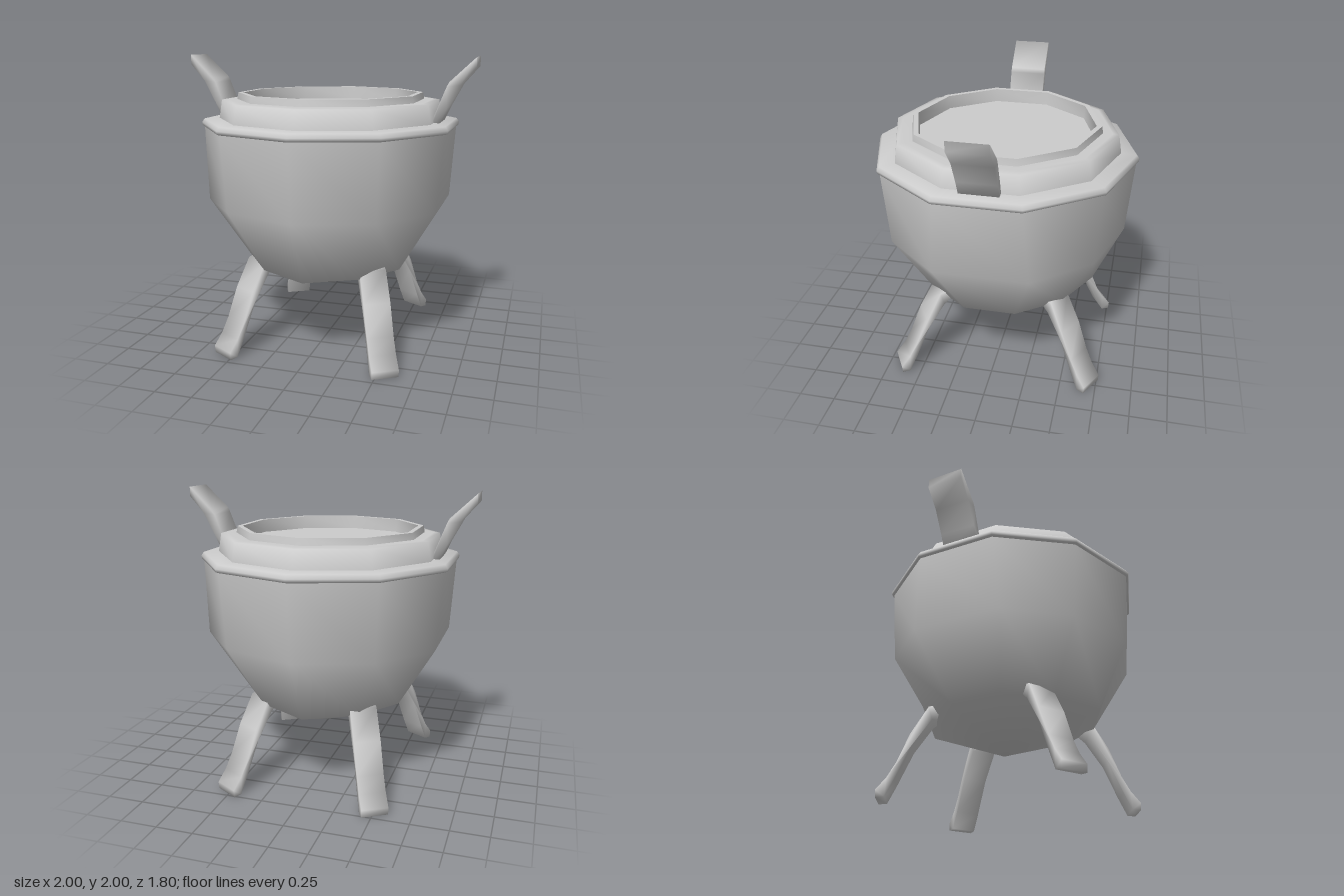
import * as THREE from 'three';
import { mergeVertices, toCreasedNormals } from 'three/addons/utils/BufferGeometryUtils.js';

const SIDES = 10;
const SOFT = 1.7; // crease angle that rounds even square edges
const material = new THREE.MeshStandardMaterial({ color: 0xcccccc, side: THREE.DoubleSide });
const vectors = (pairs) => pairs.map(([x, y]) => new THREE.Vector2(x, y));

function named(name, geometry) {
  const mesh = new THREE.Mesh(geometry, material);
  mesh.name = name;
  return mesh;
}

// Ten-sided turned part
function turned(name, profile, crease) {
  const geometry = new THREE.LatheGeometry(vectors(profile), SIDES);
  return named(name, toCreasedNormals(geometry, crease));
}

// Bent strip: side profile (outward, up) given a width, facing local +z
function strip(name, profile, width) {
  const geometry = new THREE.ExtrudeGeometry(new THREE.Shape(vectors(profile)), {
    depth: width, bevelEnabled: false,
  });
  geometry.translate(0, 0, -width / 2);
  geometry.rotateY(-Math.PI / 2);
  return named(name, toCreasedNormals(geometry, SOFT));
}

// Smooth bowl: slightly irregular rings, with the tip a little to the back
function bowl() {
  const profile = [[0, 0.35], [0.57, 0.57], [0.84, 1.01], [0.88, 1.52]];
  let geometry = new THREE.LatheGeometry(vectors(profile), SIDES);
  geometry.deleteAttribute('uv');
  geometry.deleteAttribute('normal');
  const p = geometry.attributes.position;
  for (let i = 0; i < p.count; i++) {
    const x = Math.abs(p.getX(i)), y = p.getY(i), z = p.getZ(i);
    if (y < 0.4) p.setZ(i, -0.07);
    else if (y < 0.6 && x < 0.01) p.setZ(i, Math.sign(z) * 0.64);
    else if (y > 0.9 && y < 1.1 && x > 0.7) p.setZ(i, z * 1.2);
  }
  geometry = mergeVertices(geometry);
  geometry.computeVertexNormals();
  return named('bowl', geometry);
}

export function createModel() {
  const group = new THREE.Group();
  group.name = 'cauldron';

  group.add(
    bowl(),
    turned('rim', [[0.87, 1.515], [0.895, 1.525], [0.898, 1.545], [0.88, 1.57], [0.74, 1.577]], SOFT),
    turned('collar', [[0.778, 1.56], [0.755, 1.7], [0.715, 1.705], [0.64, 1.705]], SOFT),
    turned('lip', [[0.652, 1.69], [0.64, 1.75], [0.605, 1.75], [0.6, 1.66]], 0.7),
    turned('lid', [[0.602, 1.66], [0, 1.66]], 0.7),
  );

  // Bent handles on both sides
  const handleProfile = [
    [0.73, 1.56], [0.77, 1.56], [0.82, 1.67], [0.9, 1.82], [1, 1.935],
    [1, 2], [0.83, 1.84], [0.815, 1.81], [0.74, 1.62],
  ];
  for (const side of [1, -1]) {
    const handle = strip(side > 0 ? 'leftHandle' : 'rightHandle', handleProfile, 0.25);
    handle.rotation.y = side * Math.PI / 2;
    group.add(handle);
  }

  // Four splayed legs with small turned-out feet
  const legProfile = [
    [0.46, 0.59], [0.53, 0.53], [0.65, 0.35], [0.75, 0.12], [0.805, 0.005], [0.86, 0],
    [0.865, 0.05], [0.8, 0.13], [0.745, 0.23], [0.665, 0.43], [0.555, 0.62], [0.5, 0.635],
  ];
  const splay = Math.PI / 6;
  for (const side of [1, -1]) {
    for (const front of [true, false]) {
      const name = (front ? 'front' : 'back') + (side > 0 ? 'LeftLeg' : 'RightLeg');
      const shift = front ? 0 : 0.02;
      const leg = strip(name, legProfile.map(([r, y]) => [r + shift, y]), 0.18);
      leg.rotation.y = side * (front ? splay : Math.PI - splay);
      leg.translateX(front ? side * 0.155 : -side * 0.09);
      group.add(leg);
    }
  }
  return group;
}
